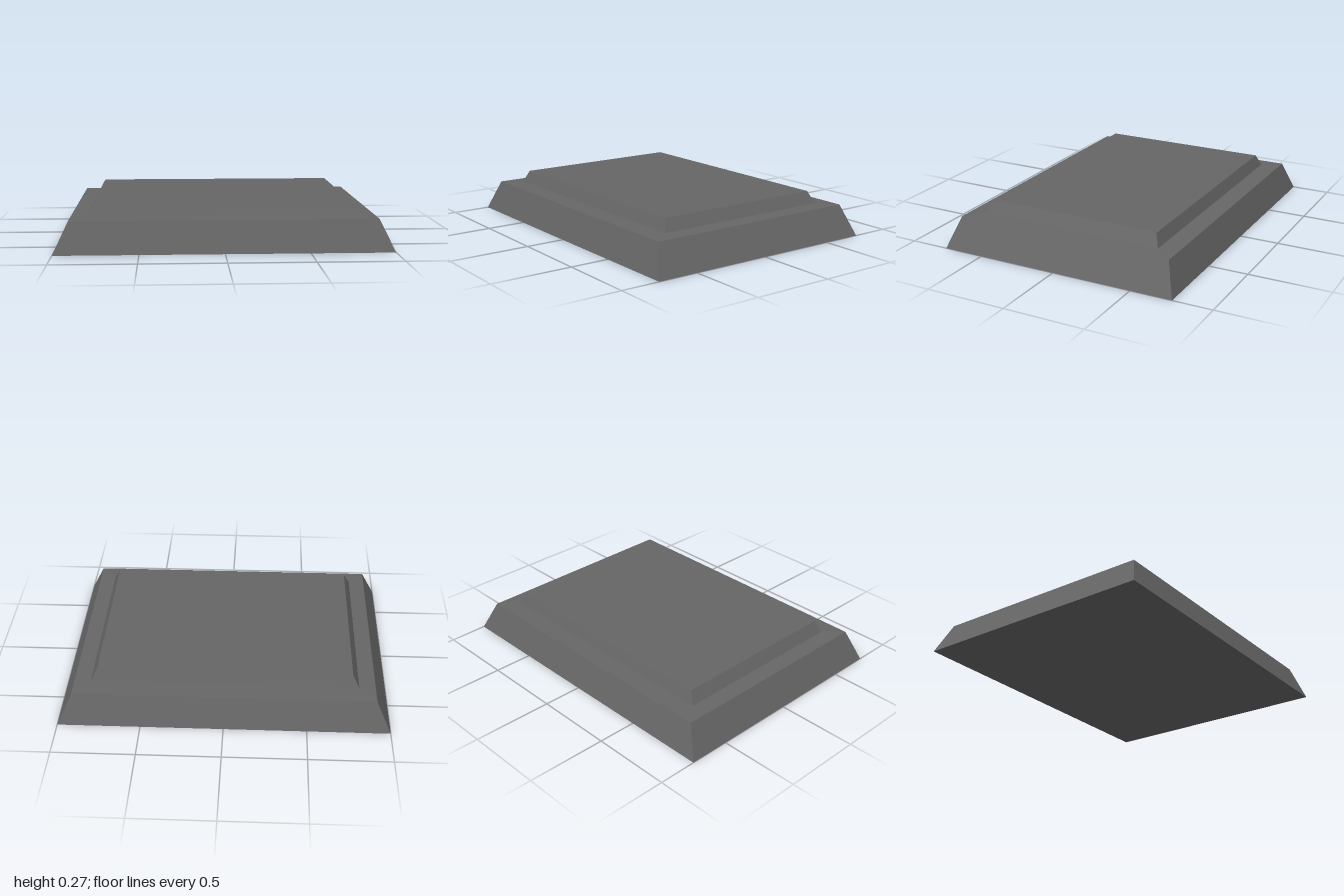
import * as THREE from 'three';

const grey = new THREE.MeshStandardMaterial({ color: 0x666666 });
grey.name = 'dark grey';

// Four-sided tier tapering from a [width, depth] at y0 to another at y1
function tier(name, y0, [w0, d0], y1, [w1, d1]) {
  const geometry = new THREE.BoxGeometry(1, 1, 1);
  const p = geometry.attributes.position;
  for (let i = 0; i < p.count; i++) {
    const top = p.getY(i) > 0;
    p.setXYZ(i, p.getX(i) * (top ? w1 : w0), top ? y1 : y0, p.getZ(i) * (top ? d1 : d0));
  }
  geometry.computeVertexNormals();
  const mesh = new THREE.Mesh(geometry, grey);
  mesh.name = name;
  return mesh;
}

export function createModel() {
  const model = new THREE.Group();
  model.name = 'steppedPlinth';
  model.add(
    // Wide sloping base
    tier('base', 0, [2, 1.515], 0.19, [1.82, 1.385]),
    // Shallow ledge rising slightly towards the panel
    tier('ledge', 0.19, [1.82, 1.385], 0.196, [1.62, 1.155]),
    // Raised top panel with bevelled sides
    tier('topPanel', 0.196, [1.62, 1.155], 0.27, [1.54, 1.095]),
  );
  return model;
}
